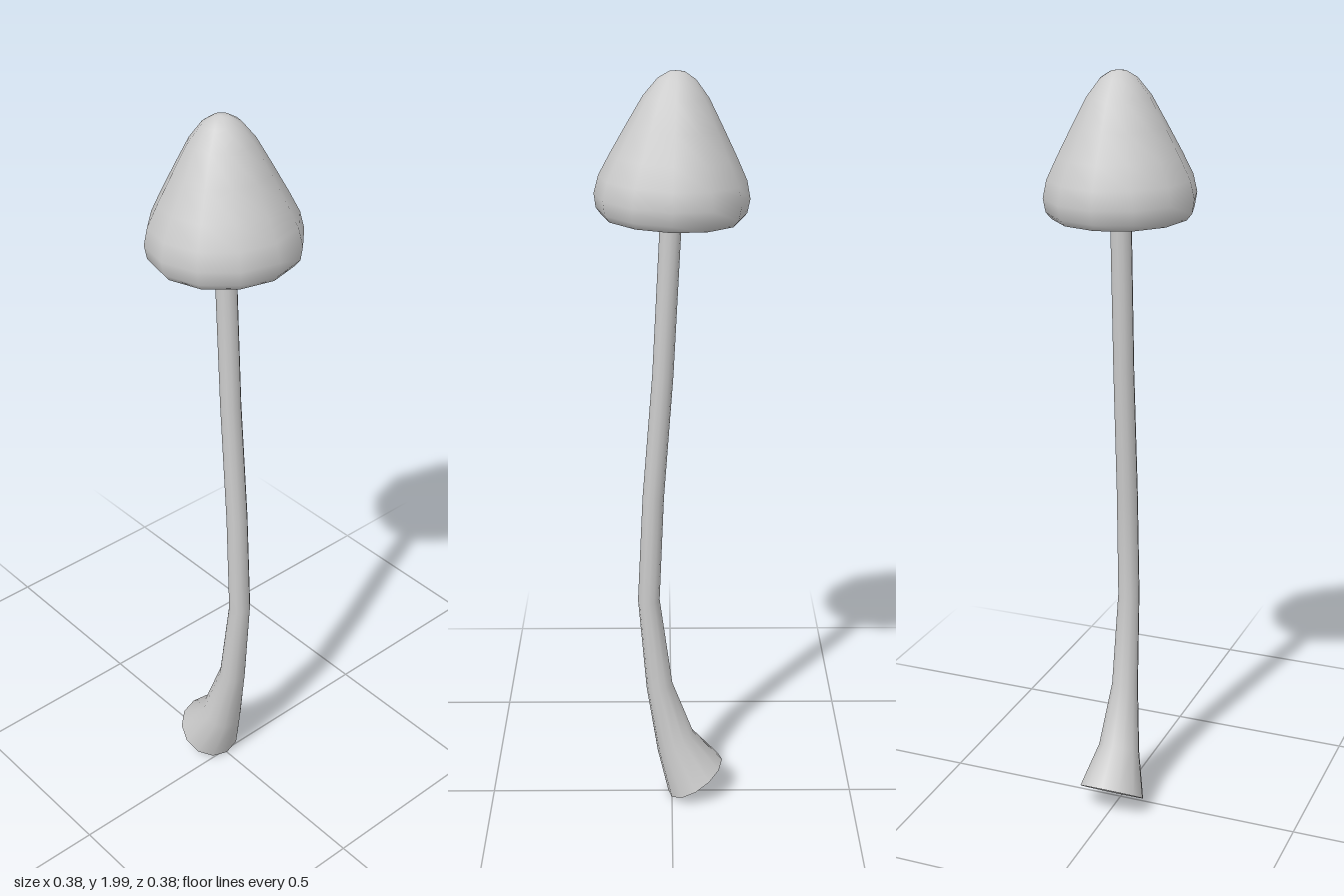
import * as THREE from 'three';

const SIDES = 12;
const material = new THREE.MeshStandardMaterial({ color: 0xcccccc, side: THREE.DoubleSide });

// Stem cross-sections from foot to top: centre x, centre y, radius, lean towards +x (radians)
const RINGS = [
  [-0.065, 0.06, 0.09, 0.588],
  [-0.01, 0.17, 0.057, 0.52],
  [0.034, 0.345, 0.036, 0.24],
  [0.062, 0.605, 0.029, 0.03],
  [0.049, 0.9, 0.028, -0.07],
  [0.023, 1.24, 0.027, -0.08],
  [0.003, 1.63, 0.027, -0.04],
  [-0.003, 1.84, 0.026, -0.04],
];

function ringPoint([x, y, r, lean], i) {
  const a = (i % SIDES) / SIDES * Math.PI * 2;
  const across = r * Math.cos(a);
  return [x + across * Math.cos(lean), y - across * Math.sin(lean), r * Math.sin(a)];
}

// Curved stem that flares at the foot
function makeStem() {
  const positions = [], index = [];
  for (const ring of RINGS) {
    for (let i = 0; i < SIDES; i++) positions.push(...ringPoint(ring, i));
  }
  for (let j = 0; j < RINGS.length - 1; j++) {
    for (let i = 0; i < SIDES; i++) {
      const a = j * SIDES + i, b = j * SIDES + (i + 1) % SIDES;
      index.push(a, a + SIDES, b, b, a + SIDES, b + SIDES);
    }
  }
  const geometry = new THREE.BufferGeometry();
  geometry.setAttribute('position', new THREE.Float32BufferAttribute(positions, 3));
  geometry.setIndex(index);
  geometry.computeVertexNormals();
  return geometry;
}

// Flat disc closing the cut end of the stem
function makeStemEnd() {
  const [x, y, r, lean] = RINGS[0];
  const geometry = new THREE.CircleGeometry(r, SIDES);
  geometry.rotateX(Math.PI / 2);
  geometry.rotateZ(-lean);
  geometry.translate(x, y, 0);
  return geometry;
}

// Bell-shaped cap: hollow inside, rolled rim, rounded tip
function makeCap() {
  const profile = [
    [0, 0.16], [0.06, 0.13], [0.11, 0.05], [0.135, -0.02],
    [0.15, -0.04], [0.172, -0.042], [0.186, -0.025], [0.192, 0.01],
    [0.182, 0.055], [0.155, 0.11], [0.118, 0.18], [0.08, 0.25],
    [0.046, 0.293], [0.02, 0.309], [0, 0.312],
  ].map(([x, y]) => new THREE.Vector2(x, y));
  return new THREE.LatheGeometry(profile, SIDES);
}

export function createModel() {
  const group = new THREE.Group();
  group.name = 'mushroom';
  const add = (name, geometry) => {
    const mesh = new THREE.Mesh(geometry, material);
    mesh.name = name;
    group.add(mesh);
    return mesh;
  };
  add('stem', makeStem());
  add('stemEnd', makeStemEnd());
  const cap = add('cap', makeCap());
  cap.position.y = 1.688;
  cap.rotation.z = 0.04;
  return group;
}
